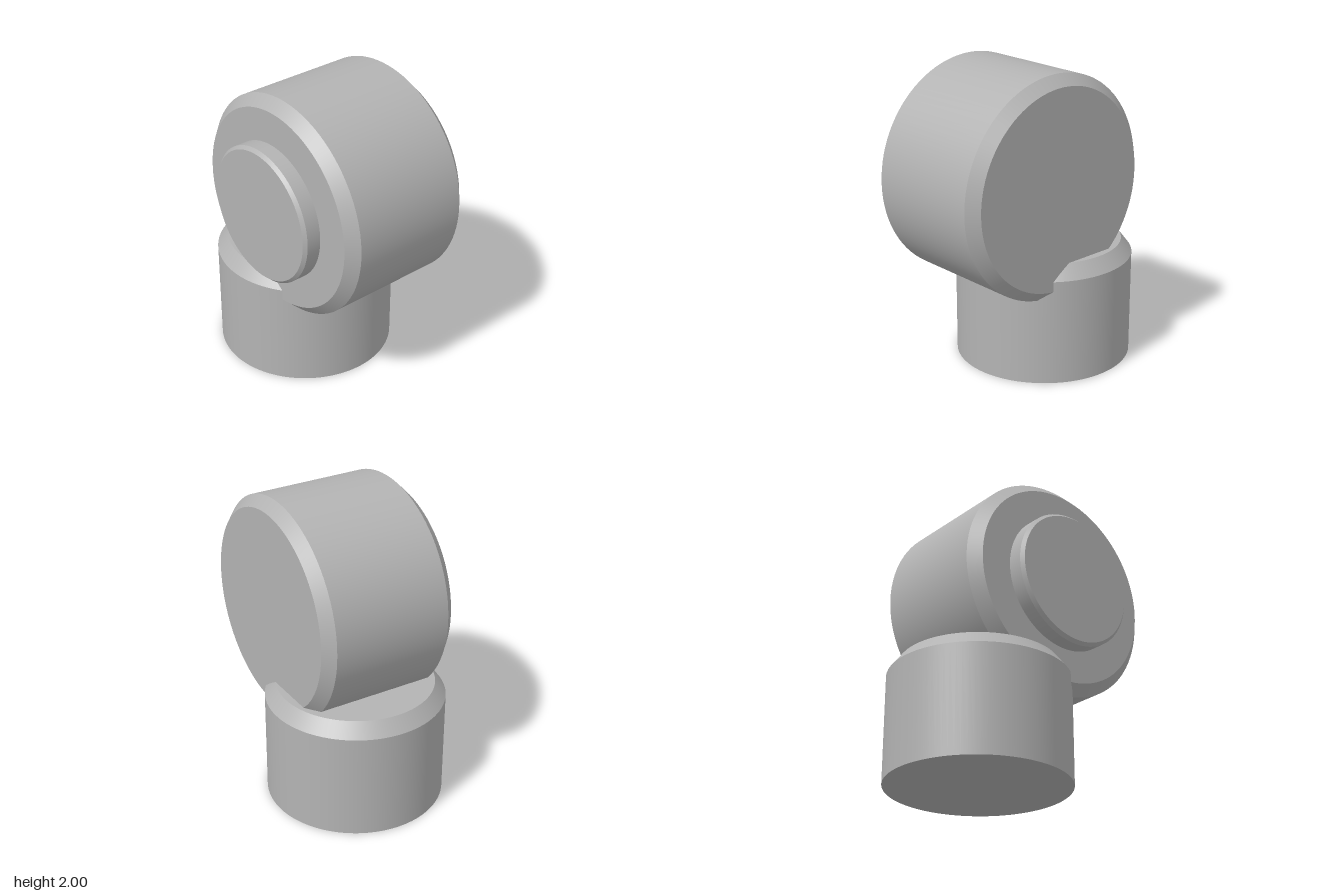
import * as THREE from 'three';
import { mergeGeometries } from 'three/addons/utils/BufferGeometryUtils.js';

const SEGMENTS = 96;

// Solid of revolution about y: smooth around, crisp at each profile corner.
function turned(profile) {
  const points = profile.map(([r, y]) => new THREE.Vector2(r, y));
  const bands = [];
  for (let i = 0; i < points.length - 1; i++) {
    bands.push(new THREE.LatheGeometry([points[i], points[i + 1]], SEGMENTS));
  }
  return mergeGeometries(bands);
}

export function createModel() {
  const model = new THREE.Group();
  const grey = new THREE.MeshStandardMaterial({ color: 0xb3b3b3 });
  grey.name = 'grey';

  function add(name, geometry, x, y, z) {
    const mesh = new THREE.Mesh(geometry, grey);
    mesh.name = name;
    mesh.position.set(x, y, z);
    model.add(mesh);
  }

  // Upright base with a chamfered top
  add('base', turned([[0, 0], [0.581, 0], [0.581, 0.7], [0.51, 0.793], [0, 0.793]]), -0.217, 0, -0.005);

  // Horizontal drum, chamfered at both ends
  const drum = turned([
    [0, -0.466], [0.65, -0.466], [0.719, -0.398], [0.719, 0.392], [0.65, 0.462], [0, 0.462],
  ]).rotateX(Math.PI / 2);
  add('drum', drum, 0.074, 1.281, 0);

  // Round disc on the front of the drum
  const disc = turned([
    [0, 0], [0.424, 0], [0.444, 0.012], [0.444, 0.107], [0.424, 0.128], [0, 0.128],
  ]).rotateX(Math.PI / 2);
  add('frontDisc', disc, 0.074, 1.281, 0.46);

  return model;
}
